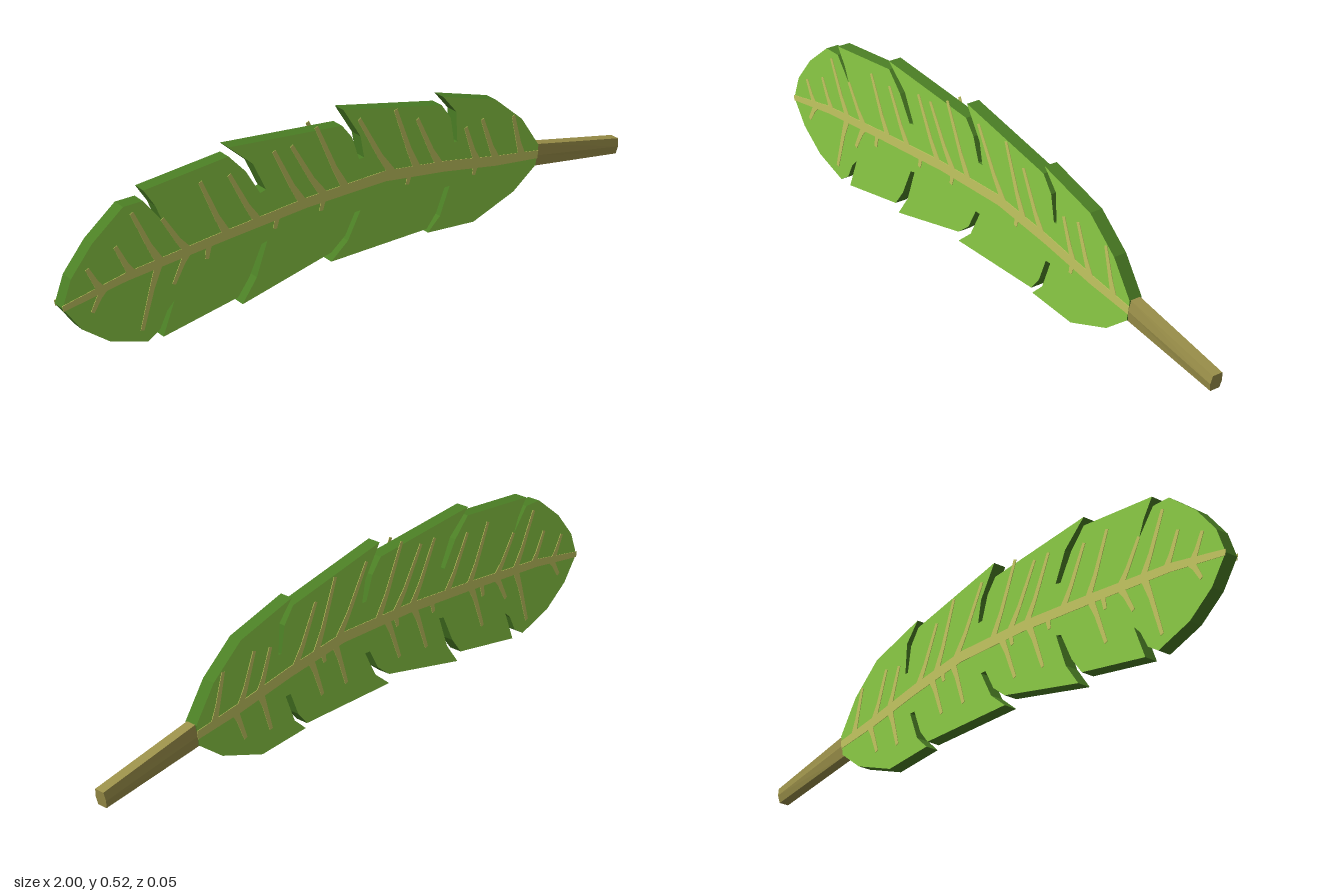
import * as THREE from 'three';

const HALF = 0.021; // half the leaf thickness
const SKIN = 0.0015; // thickness of the vein plates

const blade = new THREE.MeshStandardMaterial({ color: 0x8bcb45 });
blade.name = 'leafGreen';
const edge = new THREE.MeshStandardMaterial({ color: 0x4c8025 });
edge.name = 'edgeGreen';
const veinMat = new THREE.MeshStandardMaterial({ color: 0xc3c660 });
veinMat.name = 'veinYellow';
const stemMat = new THREE.MeshStandardMaterial({ color: 0x9c914a });
stemMat.name = 'stemBrown';

const toShape = (pts) => new THREE.Shape(pts.map(([x, y]) => new THREE.Vector2(x, y)));

// Upper edge from tip to stem, with four torn slits
const upper = [
  [-1, 0.19], [-0.97, 0.27], [-0.9, 0.355], [-0.8, 0.435], [-0.738, 0.435],
  [-0.68, 0.36], [-0.7, 0.41], [-0.735, 0.465], [-0.46, 0.49],
  [-0.405, 0.43], [-0.358, 0.35], [-0.338, 0.355], [-0.38, 0.445], [-0.46, 0.517],
  [-0.075, 0.48], [-0.04, 0.435], [-0.015, 0.36], [0.003, 0.36], [-0.01, 0.43], [-0.07, 0.527],
  [0.285, 0.45], [0.32, 0.4], [0.334, 0.318], [0.346, 0.318], [0.34, 0.415], [0.29, 0.475],
  [0.49, 0.415], [0.595, 0.325], [0.665, 0.22],
];
// Lower edge from stem back to tip
const lower = [
  [0.655, 0.155], [0.57, 0.09], [0.415, 0.033], [0.24, 0.048],
  [0.285, 0.09], [0.32, 0.18], [0.3, 0.18], [0.27, 0.105], [0.235, 0.062], [-0.115, 0.06],
  [-0.055, 0.11], [-0.01, 0.195], [-0.03, 0.195], [-0.065, 0.13], [-0.115, 0.09], [-0.425, 0.02],
  [-0.375, 0.09], [-0.337, 0.195], [-0.357, 0.19], [-0.4, 0.1], [-0.44, 0.047], [-0.69, 0.003],
  [-0.65, 0.105], [-0.675, 0.08], [-0.7, 0.03], [-0.74, 0.004], [-0.86, 0.045], [-0.945, 0.11],
];

// Midrib centre line
const ribPts = [[-1, 0.19], [-0.8, 0.225], [-0.5, 0.252], [-0.2, 0.275], [0.08, 0.28],
  [0.3, 0.25], [0.5, 0.213], [0.662, 0.19]];
const ribWidths = [0.018, 0.026, 0.03, 0.032, 0.034, 0.034, 0.032, 0.026];

function ribY(x) {
  const i = Math.max(1, ribPts.findIndex((p) => p[0] >= x));
  const [a, b] = [ribPts[i - 1], ribPts[i]];
  return a[1] + ((b[1] - a[1]) * (x - a[0])) / (b[0] - a[0]);
}

// Veins as [base x, tip x, tip y]
const upperVeins = [
  [-0.88, -0.92, 0.285], [-0.78, -0.83, 0.325], [-0.69, -0.775, 0.41], [-0.6, -0.68, 0.365],
  [-0.47, -0.555, 0.44], [-0.365, -0.46, 0.435], [-0.21, -0.31, 0.465], [-0.135, -0.25, 0.465],
  [-0.06, -0.165, 0.5], [0.11, -0.015, 0.485], [0.2, 0.115, 0.48], [0.285, 0.195, 0.43],
  [0.425, 0.377, 0.355], [0.5, 0.44, 0.365], [0.6, 0.56, 0.345],
];
const lowerVeins = [
  [-0.87, -0.91, 0.15], [-0.695, -0.757, 0.045], [-0.6, -0.65, 0.155], [-0.53, -0.54, 0.2],
  [-0.3, -0.31, 0.225], [-0.14, -0.15, 0.235], [0.17, 0.16, 0.23], [0.42, 0.41, 0.19],
];
const backVeins = [
  [-0.48, -0.54, 0.1], [-0.22, -0.28, 0.12], [-0.1, -0.16, 0.13],
  [0.12, 0.07, 0.13], [0.22, 0.17, 0.13], [0.42, 0.38, 0.1], [0.52, 0.48, 0.11],
];

// Flat ribbon following a polyline with a width at each point
function ribbon(pts, widths) {
  const left = [], right = [];
  pts.forEach(([x, y], i) => {
    const a = pts[Math.max(0, i - 1)], b = pts[Math.min(pts.length - 1, i + 1)];
    const len = Math.hypot(b[0] - a[0], b[1] - a[1]);
    const nx = (-(b[1] - a[1]) / len) * widths[i] / 2, ny = ((b[0] - a[0]) / len) * widths[i] / 2;
    left.push([x + nx, y + ny]);
    right.unshift([x - nx, y - ny]);
  });
  return toShape([...left, ...right]);
}

function vein([bx, tx, ty]) {
  const by = ribY(bx);
  const mid = [bx + (tx - bx) * 0.4, by + (ty - by) * 0.35];
  return ribbon([[bx, by], mid, [tx, ty]], [0.026, 0.017, 0.012]);
}

// Six-sided stem lofted between two cross-sections
function stemGeometry() {
  const ring = (xTop, yTop, xBot, yBot) => [[0, 0.016], [0.5, HALF], [1, 0.016], [1, -0.016], [0.5, -HALF], [0, -0.016]]
    .map(([t, z]) => [xTop + (xBot - xTop) * t, yTop + (yBot - yTop) * t, z]);
  const a = ring(0.66, 0.222, 0.65, 0.152), b = ring(1, 0.15, 0.992, 0.1);
  const pos = [];
  for (let i = 0; i < 6; i++) {
    const j = (i + 1) % 6;
    pos.push(...a[i], ...a[j], ...b[j], ...a[i], ...b[j], ...b[i]);
    if (i > 0 && i < 5) pos.push(...b[0], ...b[i], ...b[j], ...a[0], ...a[j], ...a[i]);
  }
  const g = new THREE.BufferGeometry();
  g.setAttribute('position', new THREE.Float32BufferAttribute(pos, 3));
  g.computeVertexNormals();
  return g;
}

export function createModel() {
  const group = new THREE.Group();
  group.name = 'bananaLeaf';
  const add = (name, geo, mat, z = 0) => {
    const mesh = new THREE.Mesh(geo, mat);
    mesh.name = name;
    mesh.position.z = z;
    group.add(mesh);
  };

  // Blade: light faces, dark cut edge
  const leaf = new THREE.ExtrudeGeometry(toShape([...upper, ...lower]), { depth: 2 * HALF, bevelEnabled: false });
  add('leafBlade', leaf, [blade, edge], -HALF);

  // Midrib and side veins on both faces
  const plate = { depth: SKIN, bevelEnabled: false };
  const veins = [...upperVeins, ...lowerVeins];
  for (const [side, z, list] of [['front', HALF, veins], ['back', -HALF - SKIN, [...veins, ...backVeins]]]) {
    add(side + 'Midrib', new THREE.ExtrudeGeometry(ribbon(ribPts, ribWidths), plate), veinMat, z);
    add(side + 'Veins', new THREE.ExtrudeGeometry(list.map(vein), plate), veinMat, z);
  }

  add('stem', stemGeometry(), stemMat);
  return group;
}
